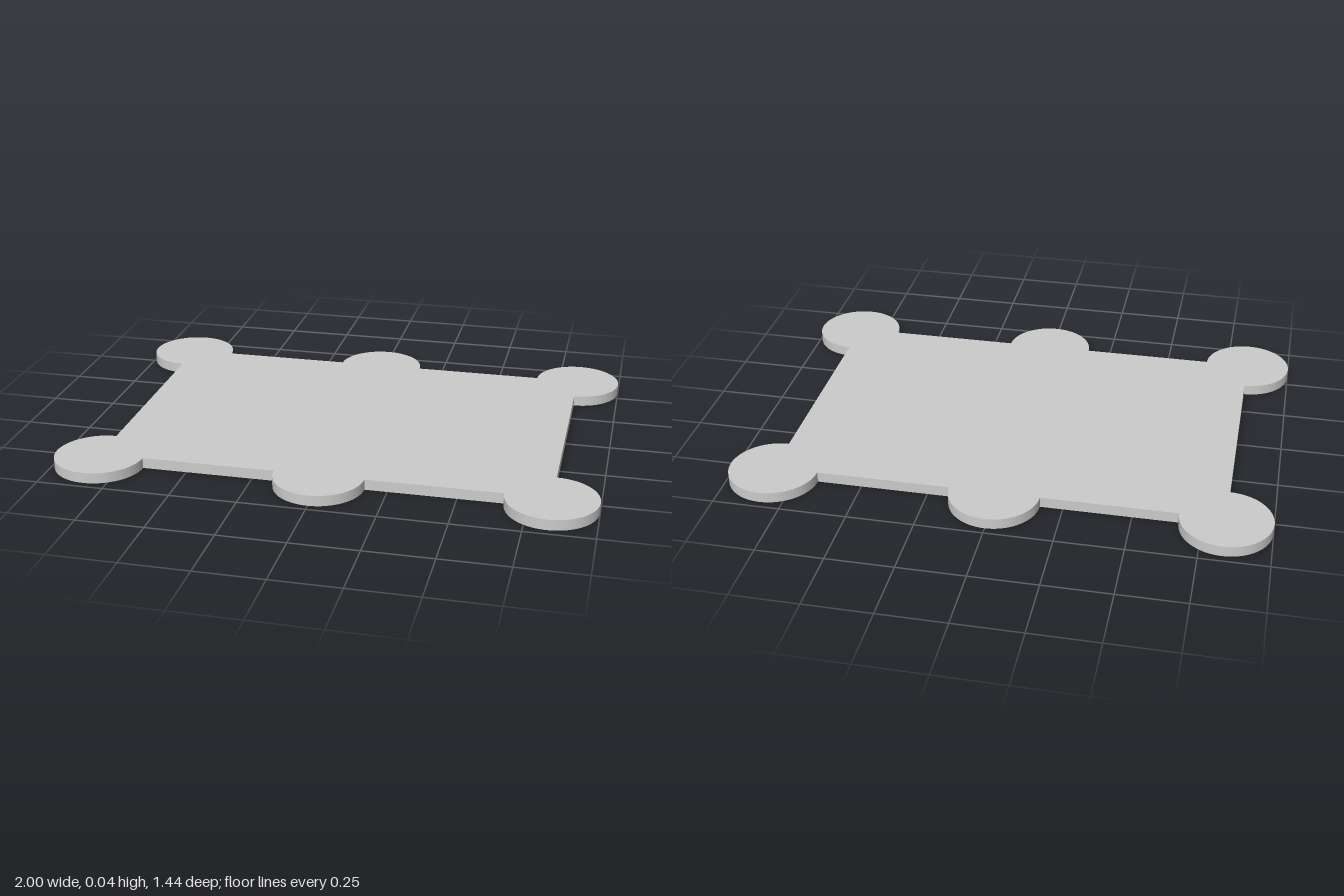
import * as THREE from 'three';

const HALF_W = 0.833;   // plate half width (x)
const HALF_D = 0.555;   // plate half depth (z)
const RADIUS = 0.167;   // round lobes
const THICKNESS = 0.04;
const SIDES = 64;       // facets per full circle

// Points of a counter-clockwise arc, angles in degrees
function arc(cx, cy, from, to) {
  const steps = Math.round((SIDES * (to - from)) / 360);
  return Array.from({ length: steps + 1 }, (_, i) => {
    const a = THREE.MathUtils.degToRad(from + ((to - from) * i) / steps);
    return new THREE.Vector2(cx + RADIUS * Math.cos(a), cy + RADIUS * Math.sin(a));
  });
}

export function createModel() {
  const group = new THREE.Group();
  group.name = 'lobedPlate';

  // Outline: three-quarter lobes on the corners, half lobes mid-way along the long edges
  const outline = new THREE.Shape([
    ...arc(-HALF_W, -HALF_D, 90, 360),
    ...arc(0, -HALF_D, 180, 360),
    ...arc(HALF_W, -HALF_D, 180, 450),
    ...arc(HALF_W, HALF_D, 270, 540),
    ...arc(0, HALF_D, 0, 180),
    ...arc(-HALF_W, HALF_D, 0, 270),
  ]);

  // Flat slab lying on the ground
  const geometry = new THREE.ExtrudeGeometry(outline, { depth: THICKNESS, bevelEnabled: false });
  geometry.rotateX(-Math.PI / 2);

  const plate = new THREE.Mesh(
    geometry,
    new THREE.MeshStandardMaterial({ color: 0xcccccc, flatShading: true })
  );
  plate.name = 'plate';
  group.add(plate);
  return group;
}
